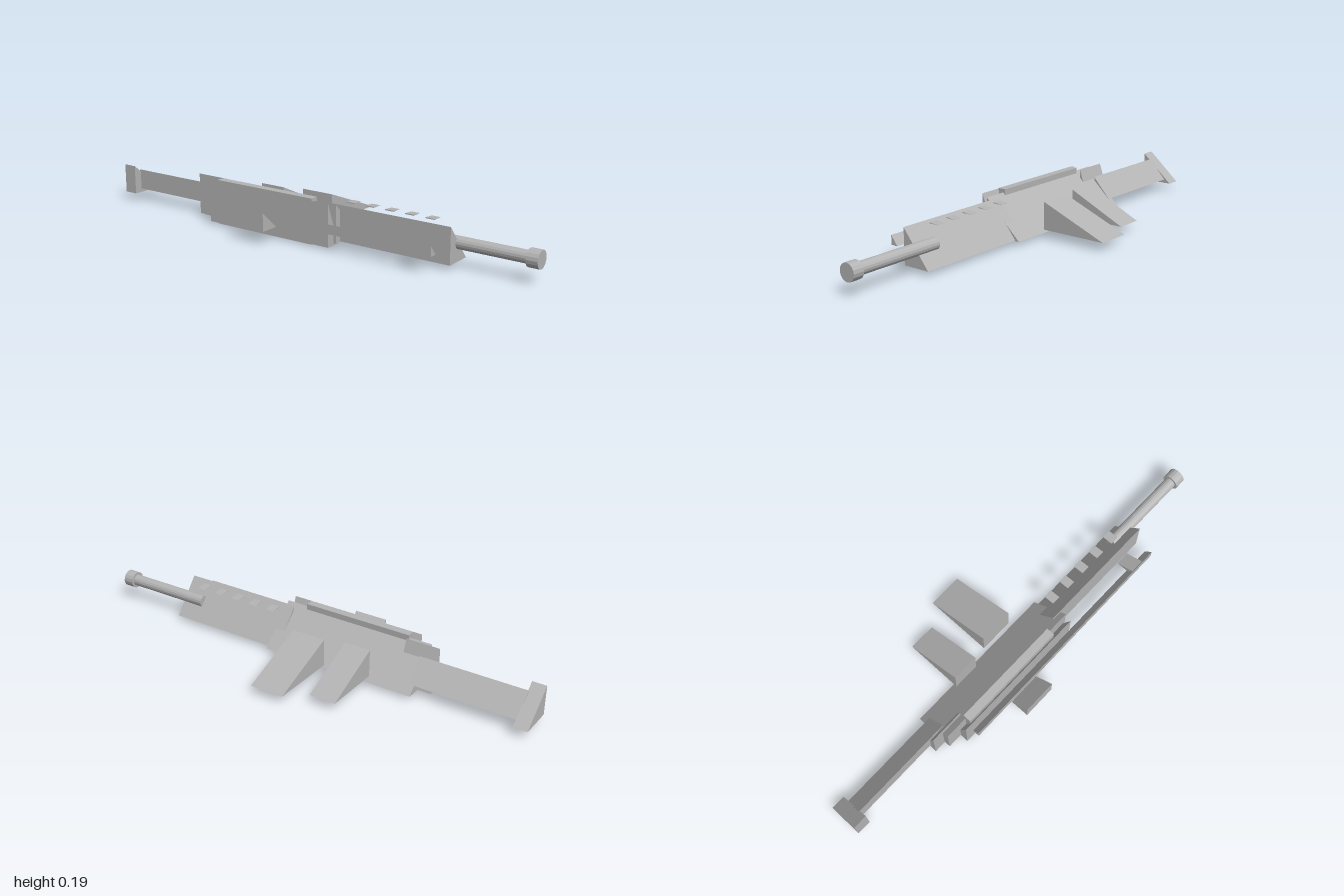
import * as THREE from 'three';

const gunmetal = new THREE.MeshStandardMaterial({ color: 0xb4b4b4, flatShading: true });
gunmetal.name = 'grey metal';

export function createModel() {
  const group = new THREE.Group();
  group.name = 'rifleLyingOnSide';

  function add(name, geometry, x, y, z) {
    const mesh = new THREE.Mesh(geometry, gunmetal);
    mesh.name = name;
    mesh.position.set(x, y, z);
    group.add(mesh);
    return mesh;
  }

  // Triangular prism along x: upright face at zTall, tapering down to an edge at zTip
  function wedge(name, x0, x1, y0, y1, zTall, zTip) {
    const shape = new THREE.Shape();
    shape.moveTo(-zTall, y0);
    shape.lineTo(-zTip, y0);
    shape.lineTo(-zTall, y1);
    shape.closePath();
    const geometry = new THREE.ExtrudeGeometry(shape, { depth: x1 - x0, bevelEnabled: false });
    geometry.rotateY(Math.PI / 2); // shape x becomes -z, depth becomes x
    add(name, geometry, x0, 0, 0);
  }

  // Cylinder along x on the barrel axis
  function tube(name, x0, x1, radius) {
    const geometry = new THREE.CylinderGeometry(radius, radius, x1 - x0, 16);
    geometry.rotateZ(-Math.PI / 2);
    add(name, geometry, (x0 + x1) / 2, 0.094, 0.074);
  }

  // Stock
  wedge('buttPlate', -1, -0.94, 0.034, 0.16, 0.145, 0);
  wedge('stock', -0.945, -0.485, 0.05, 0.138, 0.11, 0.03);

  // Body and its covers
  wedge('receiver', -0.51, 0.175, 0.017, 0.173, 0.163, -0.003);
  wedge('rearCover', -0.56, -0.41, 0.007, 0.182, 0.134, 0.075);
  wedge('topCover', -0.445, 0.163, 0.007, 0.182, 0.198, 0.132);
  add('sidePlate', new THREE.BoxGeometry(0.485, 0.188, 0.035), -0.168, 0.094, 0.17);

  // Sights and rail
  wedge('rail', -0.41, 0.642, 0.075, 0.114, 0.23, 0.199);
  wedge('frontSight', 0.523, 0.583, 0.075, 0.112, 0.226, 0.15);
  wedge('scope', -0.215, -0.07, 0.057, 0.132, 0.31, 0.228);

  // Grip and magazine
  wedge('grip', -0.315, -0.2, 0.036, 0.153, 0.016, -0.235);
  wedge('magazine', -0.12, 0.028, 0.036, 0.153, -0.014, -0.307);

  // Handguard with five thin vents above and below
  wedge('handguard', 0.13, 0.667, 0.02, 0.168, 0.136, 0.016);
  for (let i = 0; i < 5; i++) {
    const x = 0.175 + i * 0.09;
    wedge('upperVent', x, x + 0.038, 0.168, 0.172, 0.094, 0.048);
    wedge('lowerVent', x, x + 0.038, 0.016, 0.02, 0.094, 0.048);
  }

  // Barrel
  tube('barrel', 0.567, 0.96, 0.025);
  tube('muzzle', 0.953, 1, 0.036);

  return group;
}
